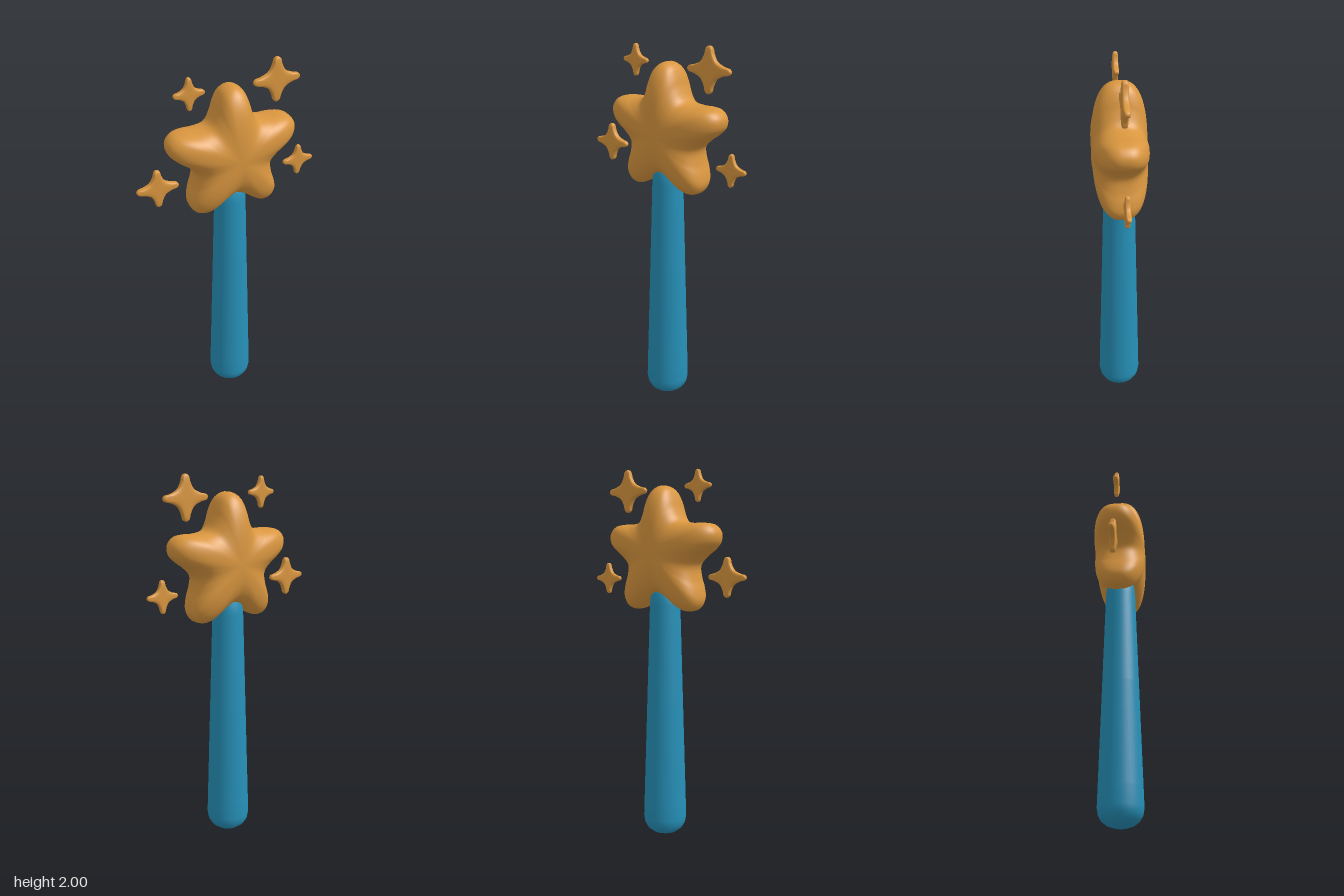
import * as THREE from 'three';

const gold = new THREE.MeshStandardMaterial({ color: 0xd9963f });
gold.name = 'gold';
const blue = new THREE.MeshStandardMaterial({ color: 0x2690b8 });
blue.name = 'blue';

// Closed smooth outline: one half arm (along, across) is mirrored and repeated around the centre.
function starOutline(arms, halfArm, samples) {
  const points = [];
  for (let k = 0; k < arms; k++) {
    const a = Math.PI / 2 + (k * 2 * Math.PI) / arms;
    const mirrored = halfArm.slice(1, -1).reverse().map(([u, v]) => [u, -v]);
    for (const [u, v] of [...mirrored, ...halfArm]) {
      points.push(new THREE.Vector3(u * Math.cos(a) - v * Math.sin(a), u * Math.sin(a) + v * Math.cos(a), 0));
    }
  }
  return new THREE.CatmullRomCurve3(points, true, 'centripetal').getSpacedPoints(samples).slice(0, samples);
}

// Cushion: the outline shrinks towards front and back along a superellipse of the given power.
function puff(outline, depth, power, rings) {
  const n = outline.length;
  const positions = [];
  const index = [];
  for (let i = 0; i <= rings; i++) {
    const t = -Math.PI / 2 + (Math.PI * i) / rings;
    const s = Math.pow(Math.max(Math.cos(t), 0), 2 / power);
    const z = Math.sign(t) * Math.pow(Math.abs(Math.sin(t)), 2 / power) * depth;
    for (const p of outline) positions.push(p.x * s, p.y * s, z);
  }
  for (let i = 0; i < rings; i++) {
    for (let j = 0; j < n; j++) {
      const a = i * n + j;
      const b = i * n + ((j + 1) % n);
      if (i > 0) index.push(a, b, b + n);
      if (i < rings - 1) index.push(a, b + n, a + n);
    }
  }
  const geometry = new THREE.BufferGeometry();
  geometry.setAttribute('position', new THREE.Float32BufferAttribute(positions, 3));
  geometry.setIndex(index);
  geometry.computeVertexNormals();
  return geometry;
}

export function createModel() {
  const group = new THREE.Group();
  group.name = 'starWand';
  const add = (name, geometry, material, x, y, z) => {
    const mesh = new THREE.Mesh(geometry, material);
    mesh.name = name;
    mesh.position.set(x, y, z);
    group.add(mesh);
    return mesh;
  };

  // Tapered handle with a rounded foot, its top hidden inside the star
  const profile = [
    [0, 0], [0.035, 0.004], [0.07, 0.016], [0.096, 0.036], [0.112, 0.064], [0.118, 0.1],
    [0.115, 0.2], [0.098, 0.75], [0.082, 1.28], [0.076, 1.34], [0.06, 1.37], [0, 1.38],
  ].map(([r, y]) => new THREE.Vector2(r, y));
  add('handle', new THREE.LatheGeometry(profile, 48), blue, 0.006, 0, 0);

  // Big puffy star
  const arm = [[0.357, 0], [0.338, 0.045], [0.29, 0.072], [0.235, 0.09], [0.174, 0.126]];
  add('star', puff(starOutline(5, arm, 160), 0.14, 2.6, 40), gold, 0.01, 1.55, 0);

  // Four small flat sparkles around it: x, y, half width, half height, half depth
  const ray = [[1, 0], [0.93, 0.12], [0.7, 0.18], [0.36, 0.36]];
  const sparkleOutline = starOutline(4, ray, 80);
  const sparkles = [
    ['sparkleUpperRight', -0.204, 1.895, 0.08, 0.083, 0.015],
    ['sparkleUpperLeft', 0.257, 1.887, 0.127, 0.115, 0.018],
    ['sparkleLowerRight', -0.385, 1.433, 0.11, 0.103, 0.018],
    ['sparkleLowerLeft', 0.402, 1.413, 0.087, 0.086, 0.014],
  ];
  for (const [name, x, y, w, h, d] of sparkles) {
    const outline = sparkleOutline.map((p) => new THREE.Vector3(p.x * w, p.y * h, 0));
    add(name, puff(outline, d, 4.5, 20), gold, x, y, -0.001);
  }
  return group;
}
